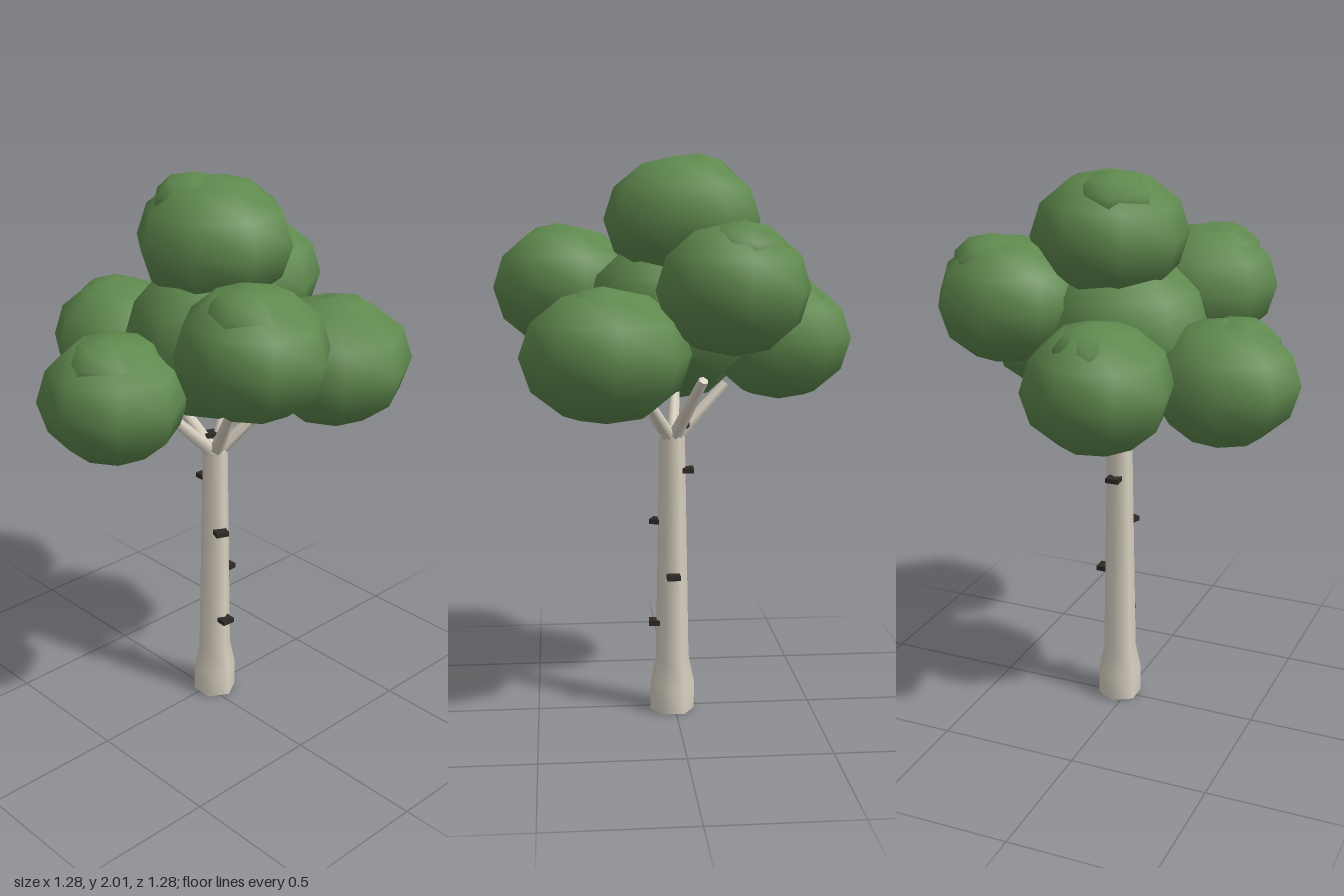
import * as THREE from 'three';

const bark = new THREE.MeshStandardMaterial({ color: 0xd9d1c2 });
bark.name = 'paleBark';
const knotMat = new THREE.MeshStandardMaterial({ color: 0x2f2a26 });
knotMat.name = 'darkKnot';
const leaf = new THREE.MeshStandardMaterial({ color: 0x5f8a4e });
leaf.name = 'leafGreen';

const TRUNK_X = 0.01, TRUNK_Z = -0.03, TRUNK_TOP = 1.02;

// centre, radii, yaw in degrees, tuft offset (x, z)
const CLUMPS = [
  { name: 'foliageCrown', c: [-0.02, 1.78, -0.05], r: [0.275, 0.22, 0.275], yaw: -14, tuft: [-0.06, 0.04] },
  { name: 'foliageCore', c: [0.01, 1.45, -0.01], r: [0.31, 0.28, 0.3], yaw: 10 },
  { name: 'foliageRight', c: [-0.385, 1.355, 0.06], r: [0.258, 0.22, 0.258], yaw: -10, tuft: [-0.035, 0], branch: 0.2 },
  { name: 'foliageFront', c: [-0.05, 1.315, 0.38], r: [0.255, 0.22, 0.26], yaw: 10, tuft: [0.02, 0.04], branch: 0.2 },
  { name: 'foliageLeft', c: [0.38, 1.54, 0.16], r: [0.265, 0.22, 0.255], yaw: 15, tuft: [0.02, 0.04], branch: 0.24 },
  { name: 'foliageBackLeft', c: [0.255, 1.345, -0.36], r: [0.288, 0.225, 0.285], yaw: 6, tuft: [0.01, -0.03], branch: 0.2 },
  { name: 'foliageBackRight', c: [-0.165, 1.56, -0.365], r: [0.262, 0.22, 0.26], yaw: 6, tuft: [-0.025, -0.045], branch: 0.24 },
];

// height, outward angle in degrees (0 = +x, 90 = +z), distance from trunk axis
const KNOTS = [
  [0.33, 4, 0.063],
  [0.515, -90, 0.063],
  [0.705, 22, 0.058],
  [0.895, 180, 0.056],
  [1.06, 195, 0.04],
];

function blob(name, c, r, yaw, sides, rings) {
  const mesh = new THREE.Mesh(new THREE.SphereGeometry(1, sides, rings), leaf);
  mesh.name = name;
  mesh.position.set(...c);
  mesh.scale.set(...r);
  // yaw before scaling so the radii stay on the world axes
  mesh.geometry.rotateY(THREE.MathUtils.degToRad(yaw));
  return mesh;
}

function limb(name, from, to, r0, r1) {
  const dir = to.clone().sub(from);
  const mesh = new THREE.Mesh(new THREE.CylinderGeometry(r1, r0, dir.length(), 6), bark);
  mesh.name = name;
  mesh.position.copy(from).addScaledVector(dir, 0.5);
  mesh.quaternion.setFromUnitVectors(new THREE.Vector3(0, 1, 0), dir.normalize());
  return mesh;
}

export function createModel() {
  const tree = new THREE.Group();
  tree.name = 'tree';

  // six-sided trunk with a flared foot
  const sections = [[0, 0.08], [0.1, 0.08], [0.2, 0.06], [TRUNK_TOP, 0.046]];
  const trunk = new THREE.Group();
  trunk.name = 'trunk';
  trunk.position.set(TRUNK_X, 0, TRUNK_Z);
  const profile = sections.map(([y, r]) => new THREE.Vector2(r, y));
  const body = new THREE.Mesh(new THREE.LatheGeometry(profile, 6, Math.PI / 6 + Math.PI / 3), bark);
  body.name = 'trunkBody';
  trunk.add(body);
  for (const [y, r, turn] of [[0, 0.08, 1], [TRUNK_TOP, 0.046, -1]]) {
    const cap = new THREE.Mesh(new THREE.CircleGeometry(r, 6), bark);
    cap.name = turn > 0 ? 'trunkFoot' : 'trunkTop';
    cap.rotation.x = turn * Math.PI / 2;
    cap.position.y = y;
    trunk.add(cap);
  }
  tree.add(trunk);

  // dark bark knots
  for (const [y, deg, dist] of KNOTS) {
    const a = THREE.MathUtils.degToRad(deg);
    const knot = new THREE.Mesh(new THREE.BoxGeometry(0.042, 0.018, 0.048), knotMat);
    knot.name = 'knot';
    knot.position.set(TRUNK_X + dist * Math.cos(a), y, TRUNK_Z + dist * Math.sin(a));
    knot.rotation.y = -a;
    tree.add(knot);
  }

  // foliage clumps with a small tuft on top, and the branches reaching them
  const fork = new THREE.Vector3(TRUNK_X, TRUNK_TOP - 0.02, TRUNK_Z);
  for (const { name, c, r, yaw, tuft, branch } of CLUMPS) {
    tree.add(blob(name, c, r, yaw, 8, 6));
    if (tuft) {
      const top = [c[0] + tuft[0], c[1] + r[1] - 0.095, c[2] + tuft[1]];
      tree.add(blob(name + 'Tuft', top, [0.15, 0.1, 0.15], yaw + 30, 6, 5));
    }
    if (branch) {
      const out = new THREE.Vector3(c[0] - TRUNK_X, 0, c[2] - TRUNK_Z).setLength(0.2);
      out.y = branch;
      tree.add(limb('branch', fork, fork.clone().add(out), 0.026, 0.018));
    }
  }
  return tree;
}
